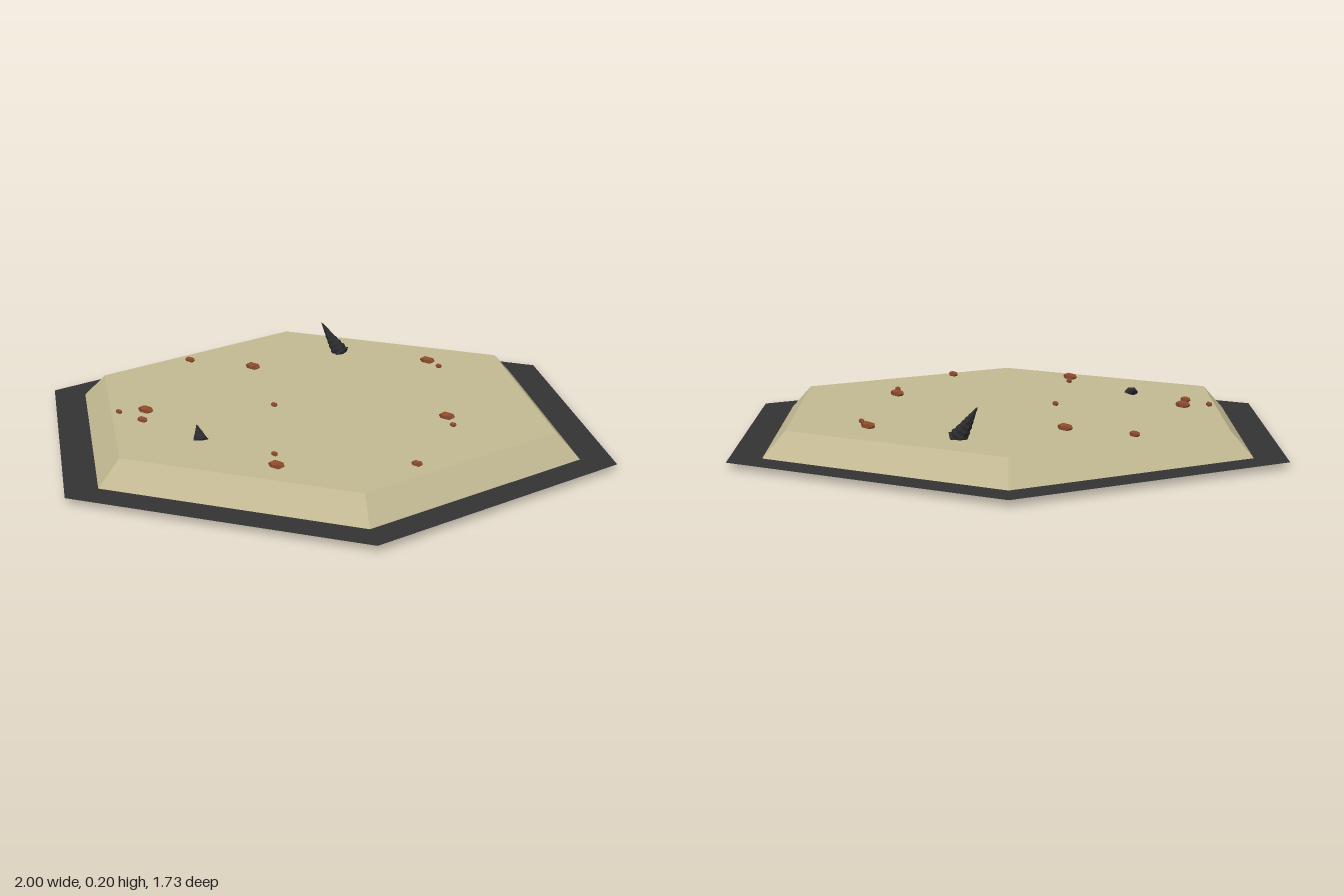
import * as THREE from 'three';

const mat = (color, side = THREE.FrontSide) =>
  new THREE.MeshStandardMaterial({ color, flatShading: true, side });

function addMesh(parent, name, geometry, material) {
  const mesh = new THREE.Mesh(geometry, material);
  mesh.name = name;
  parent.add(mesh);
  return mesh;
}

// Tiered, slightly twisted cone of unit height, tip at y = 1
function spikeGeometry(radius, tiers = 7, sides = 7) {
  const profile = [new THREE.Vector2(0, 0), new THREE.Vector2(radius * 0.7, 0)];
  for (let i = 0; i < tiers; i++) {
    const r = radius * (1 - i / tiers);
    profile.push(new THREE.Vector2(r, (i + 0.55) / (tiers + 0.5)));
    profile.push(new THREE.Vector2(r * 0.8, (i + 0.9) / (tiers + 0.5)));
  }
  profile.push(new THREE.Vector2(0, 1));
  const geo = new THREE.LatheGeometry(profile, sides);
  const p = geo.attributes.position;
  const v = new THREE.Vector3();
  for (let i = 0; i < p.count; i++) {
    v.fromBufferAttribute(p, i).applyAxisAngle(THREE.Object3D.DEFAULT_UP, v.y * 1.2);
    p.setXYZ(i, v.x, v.y, v.z);
  }
  return geo;
}

export function createModel() {
  const model = new THREE.Group();
  model.name = 'hexTile';

  // Thin dark rim sheet, cutting through the slab just above the ground
  const rim = addMesh(model, 'rimSheet', new THREE.CircleGeometry(1, 6), mat(0x333333, THREE.DoubleSide));
  rim.rotation.x = -Math.PI / 2;
  rim.position.y = 0.02;

  // Sand slab with bevelled walls, open underneath
  const slab = [[0.9, 0], [0.8, 0.1], [0, 0.1]].map(([r, y]) => new THREE.Vector2(r, y));
  addMesh(model, 'sandSlab', new THREE.LatheGeometry(slab, 6, Math.PI / 6), mat(0xc2b892, THREE.DoubleSide));

  // Pebbles: x, z, scale
  const pebbles = new THREE.Group();
  pebbles.name = 'pebbles';
  model.add(pebbles);
  const pebbleGeo = new THREE.DodecahedronGeometry(1);
  pebbleGeo.scale(0.03, 0.013, 0.02);
  const pebbleMat = mat(0x8b4a2b);
  [
    [0.2, -0.53, 1], [-0.35, -0.25, 1], [0.435, -0.003, 1], [-0.505, 0.288, 1], [0.08, 0.593, 1],
    [-0.585, -0.238, 0.68], [-0.474, 0.377, 0.68], [0.475, 0.432, 0.68],
    [0.257, -0.482, 0.42], [0.478, 0.068, 0.42], [-0.13, 0.094, 0.42],
    [-0.578, 0.337, 0.42], [0.04, 0.51, 0.42],
  ].forEach(([x, z, s]) => {
    const pebble = addMesh(pebbles, 'pebble', pebbleGeo, pebbleMat);
    pebble.position.set(x, 0.109, z);
    pebble.rotation.y = -0.35;
    pebble.scale.set(s, 0.4 + 0.6 * s, s);
  });

  // Dark rock spikes, each from a buried base to a leaning tip
  const spikeMat = mat(0x2b2b2d, THREE.DoubleSide);
  const addSpike = (name, base, tip, radius) => {
    const from = new THREE.Vector3(...base);
    const axis = new THREE.Vector3(...tip).sub(from);
    const spike = addMesh(model, name, spikeGeometry(radius), spikeMat);
    spike.position.copy(from);
    spike.scale.y = axis.length();
    spike.quaternion.setFromUnitVectors(THREE.Object3D.DEFAULT_UP, axis.normalize());
  };
  addSpike('tallSpike', [-0.123, 0.092, -0.53], [-0.2, 0.205, -0.53], 0.034);
  addSpike('fallenSpike', [-0.23, 0.09, 0.46], [-0.277, 0.122, 0.388], 0.027);

  return model;
}
